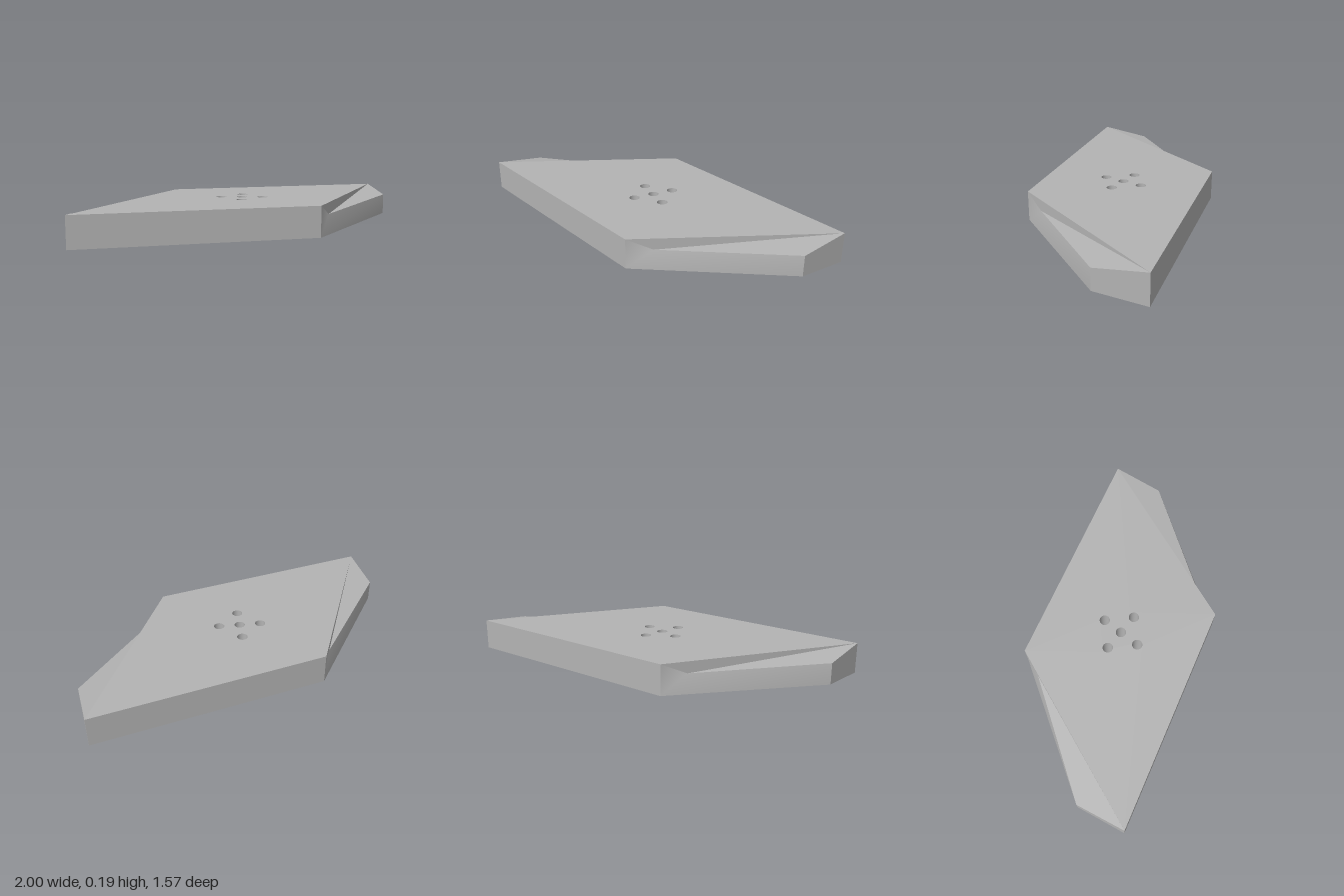
import * as THREE from 'three';

const H = 0.193;          // plate thickness
const HOLE_R = 0.033;
const HOLES = [[0, 0], [0.133, 0], [-0.133, 0], [0, 0.133], [0, -0.133]];

// Corner points of one half; the other half is the same turned by 180 degrees
const P = {
  frontLeftLow: [-0.94, 0, 0.783], frontLeftTop: [-0.94, H, 0.783],
  frontLow: [0.478, 0, 0.397], frontTop: [0.478, H, 0.397],
  backLow: [0.94, 0, -0.783], backTop: [0.94, H, -0.783],
  tipLow: [1, 0.018, -0.466], tipTop: [1, 0.152, -0.466],
  notch: [0.537, 0.12, 0.245],
};

// Joins named corners into faces; corners are shared within one part when smooth
function facets(faces, smooth = false) {
  const names = [...new Set(faces.flat())];
  const index = [];
  for (const f of faces) {
    for (let i = 1; i < f.length - 1; i++) {
      index.push(...[f[0], f[i], f[i + 1]].map((n) => names.indexOf(n)));
    }
  }
  let g = new THREE.BufferGeometry();
  g.setAttribute('position', new THREE.Float32BufferAttribute(names.flatMap((n) => P[n]), 3));
  g.setIndex(index);
  if (!smooth) g = g.toNonIndexed();
  g.computeVertexNormals();
  return g;
}

// Flat parallelogram with holes; s flips the outline for the underside
function capGeometry(s) {
  const shape = new THREE.Shape(
    [[-0.94, 0.783], [0.478, 0.397], [0.94, -0.783], [-0.478, -0.397]]
      .map(([x, z]) => new THREE.Vector2(x, -s * z)));
  for (const [x, z] of HOLES) {
    shape.holes.push(new THREE.Path().absarc(x, -s * z, HOLE_R, 0, Math.PI * 2, true));
  }
  return new THREE.ShapeGeometry(shape, 16).rotateX(-s * Math.PI / 2);
}

export function createModel() {
  const model = new THREE.Group();
  model.name = 'plate';
  const grey = new THREE.MeshStandardMaterial({ color: 0xb3b3b3 });
  grey.name = 'grey';
  const boreGrey = grey.clone();
  boreGrey.side = THREE.BackSide;

  const add = (parent, name, geometry, material = grey) => {
    const mesh = new THREE.Mesh(geometry, material);
    mesh.name = name;
    parent.add(mesh);
    return mesh;
  };

  // Top and bottom faces
  add(model, 'topFace', capGeometry(1)).position.y = H;
  add(model, 'bottomFace', capGeometry(-1));

  // Walls of the drilled holes
  for (const [x, z] of HOLES) {
    const bore = new THREE.CylinderGeometry(HOLE_R, HOLE_R, H, 32, 1, true);
    add(model, 'holeWall', bore, boreGrey).position.set(x, H / 2, z);
  }

  // Long wall and tapered wing, repeated on the opposite side
  for (const turn of [0, Math.PI]) {
    const half = new THREE.Group();
    half.name = turn ? 'leftHalf' : 'rightHalf';
    half.rotation.y = turn;
    add(half, 'longWall', facets([['frontLeftLow', 'frontLow', 'frontTop', 'frontLeftTop']]));
    add(half, 'upperWall', facets([['frontTop', 'notch', 'backTop']]));
    add(half, 'wingSide', facets([
      ['frontLow', 'notch', 'frontTop'],
      ['frontLow', 'tipTop', 'notch'],
      ['frontLow', 'tipLow', 'tipTop'],
    ], true));
    add(half, 'wingTop', facets([['notch', 'tipTop', 'backTop']]));
    add(half, 'wingEnd', facets([['tipLow', 'backLow', 'backTop', 'tipTop']]));
    add(half, 'wingUnderside', facets([['frontLow', 'backLow', 'tipLow']]));
    model.add(half);
  }
  return model;
}
